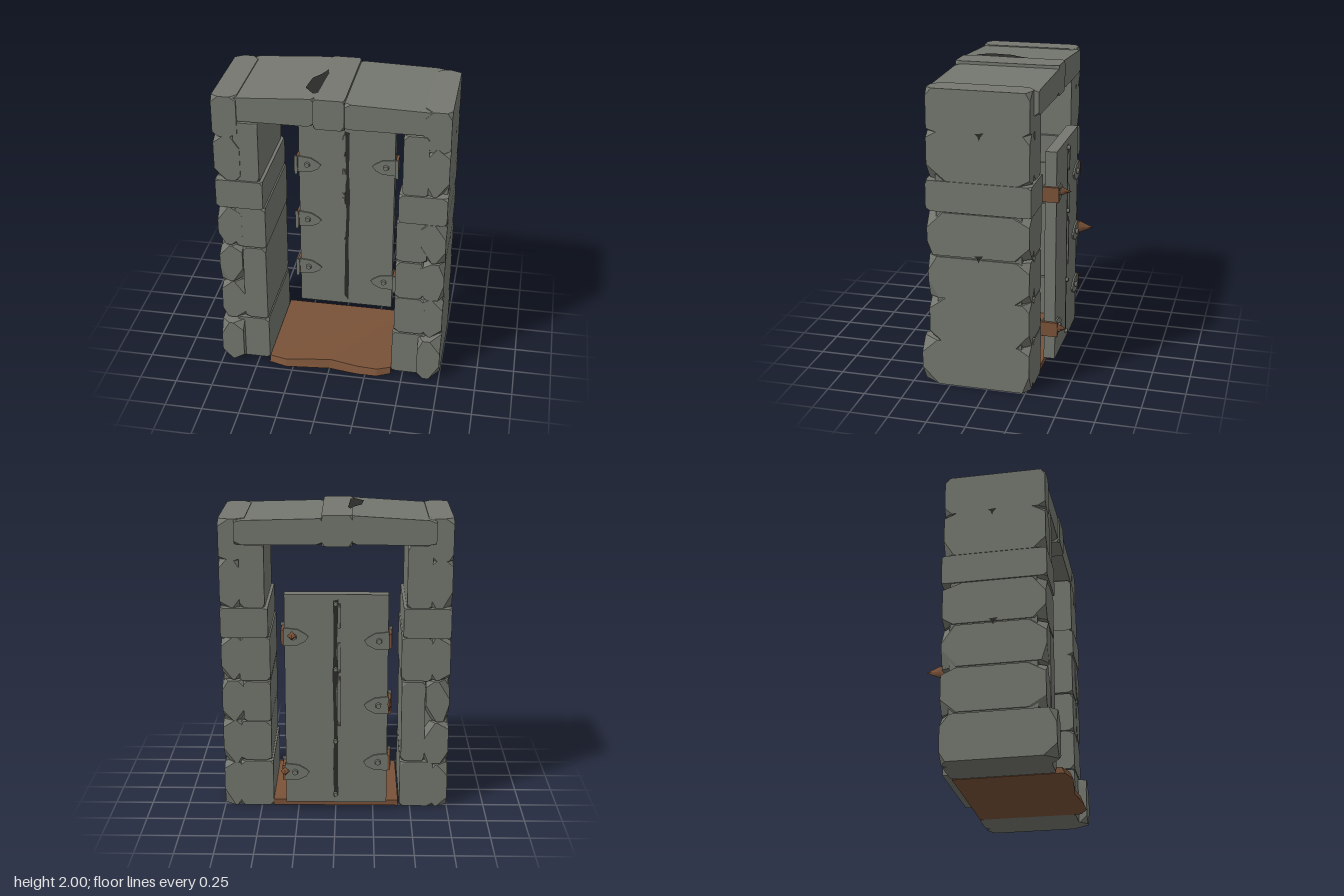
import * as THREE from 'three';
import { ConvexGeometry } from 'three/addons/geometries/ConvexGeometry.js';

const mat = (name, color, extra = {}) => {
  const m = new THREE.MeshStandardMaterial({ color, ...extra });
  m.name = name;
  return m;
};

export function createModel() {
  const stone = mat('stone grey', 0x74776f);
  const brown = mat('rusty brown', 0x7a5238);
  const dark = mat('crack dark', 0x2b2b2a, { side: THREE.DoubleSide });

  let seed = 11;
  const rnd = () => {
    seed = (seed * 16807) % 2147483647;
    return seed / 2147483647;
  };
  const add = (parent, name, geo, material, x = 0, y = 0, z = 0) => {
    const m = new THREE.Mesh(geo, material);
    m.name = name;
    m.position.set(x, y, z);
    parent.add(m);
    return m;
  };

  // Block whose eight corners are chiselled off by uneven amounts
  const rock = ([x0, x1], [y0, y1], [z0, z1], cut, warp) => {
    const pts = [];
    for (const i of [0, 1]) for (const j of [0, 1]) for (const k of [0, 1]) {
      const x = i ? x1 : x0, y = j ? y1 : y0, z = k ? z1 : z0;
      const c = cut.map((v, n) => Math.min(v * (0.35 + 0.9 * rnd()), [x1 - x0, y1 - y0, z1 - z0][n] * 0.46));
      pts.push(new THREE.Vector3(x + (i ? -c[0] : c[0]), y, z),
        new THREE.Vector3(x, y + (j ? -c[1] : c[1]), z),
        new THREE.Vector3(x, y, z + (k ? -c[2] : c[2])));
    }
    if (warp) pts.forEach(warp);
    return new ConvexGeometry(pts);
  };
  const plate = pts => new THREE.ShapeGeometry(new THREE.Shape(pts.map(p => new THREE.Vector2(...p))));

  const model = new THREE.Group();
  model.name = 'stoneDoorway';

  // Pillars: rough outer stones, squarer inner stones, hidden core
  const outer = {
    '-1': [[0, 0.3], [0.31, 0.6], [0.61, 0.89], [0.9, 1.185], [1.39, 1.71], [1.7, 1.975]],
    '1': [[0, 0.31], [0.31, 0.61], [0.61, 0.89], [0.9, 1.185], [1.39, 1.72], [1.7, 1.97]],
  };
  const inner = { // bottom, top, inner edge, outer edge
    '-1': [[0, 0.32, 0.43, 0.65], [0.33, 0.885, 0.435, 0.59], [0.895, 1.19, 0.43, 0.63], [1.39, 1.8, 0.46, 0.62]],
    '1': [[0, 0.32, 0.42, 0.64], [0.33, 0.605, 0.43, 0.63], [0.61, 0.885, 0.43, 0.61], [0.895, 1.19, 0.43, 0.63], [1.39, 1.8, 0.46, 0.62]],
  };
  for (const s of [-1, 1]) {
    const pillar = new THREE.Group();
    pillar.name = s > 0 ? 'leftPillar' : 'rightPillar';
    model.add(pillar);
    const span = (a, b) => (s > 0 ? [a, b] : [-b, -a]);
    add(pillar, 'pillarCore', new THREE.BoxGeometry(0.27, 1.86, 0.55), stone, s * 0.607, 0.93, 0.05);
    outer[s].forEach(([a, b], i) => add(pillar, 'outerStone',
      rock(span(0.6 - 0.02 * rnd(), 0.75), [a, b], [-0.275, i ? 0.375 + 0.015 * rnd() : 0.435],
        i === 5 ? [0.06, 0.05, 0.06] : [0.1, 0.1, 0.1]), stone));
    inner[s].forEach(([a, b, x0, x1]) => add(pillar, 'innerStone',
      rock(span(x0, x1), [a, b], [-0.275, 0.38], [0.03, 0.03, 0.03]), stone));
    add(pillar, 'throughStone', rock(span(0.44, 0.75), [1.19, 1.388], [-0.285, 0.39], [0.03, 0.02, 0.03]), stone);
    // Small chips on the outer face
    for (const [y, z] of [[1.69, 0.04], [0.9, 0.05]]) {
      const chip = add(pillar, 'chip', plate([[-0.03, 0.015], [0.03, 0.02], [0.01, -0.005], [0, -0.03], [-0.01, 0]]),
        dark, s * 0.753, y, z);
      chip.rotation.y = s * Math.PI / 2;
    }
  }

  // Lintel: two long beams and a keystone
  const lintel = new THREE.Group();
  lintel.name = 'lintel';
  model.add(lintel);
  const beamTop = x => 1.965 + 0.033 * Math.max(0, (x + 0.64) / 0.54);
  add(lintel, 'rightBeam', rock([-0.64, -0.1], [1.81, 1.965], [-0.3, 0.375], [0.04, 0.025, 0.04],
    v => { if (v.y > 1.9) v.y += beamTop(v.x) - 1.965; }), stone);
  add(lintel, 'keystone', rock([-0.105, 0.09], [1.8, 2], [-0.305, 0.385], [0.02, 0.03, 0.03]), stone);
  add(lintel, 'leftBeam', rock([0.085, 0.645], [1.81, 1.98], [-0.305, 0.375], [0.04, 0.025, 0.04],
    v => { if (v.y > 1.9) v.y -= 0.015 * (v.x - 0.085) / 0.56; }), stone);
  const gouge = add(lintel, 'gouge', plate([[-0.09, 0.08], [-0.075, 0.02], [-0.08, -0.06], [-0.09, -0.29],
    [-0.12, -0.3], [-0.18, -0.22], [-0.165, -0.07], [-0.12, 0]]), dark, 0, 2.002, 0);
  gouge.rotation.x = -Math.PI / 2;

  // Threshold slab with a worn front edge
  const step = [[-0.42, -0.27], [0.42, -0.27], [0.42, 0.42], [0.33, 0.465], [0.2, 0.465], [0, 0.435], [-0.3, 0.465], [-0.42, 0.43]];
  const stepGeo = new THREE.ExtrudeGeometry(new THREE.Shape(step.map(([x, z]) => new THREE.Vector2(x, -z))),
    { depth: 0.055, bevelEnabled: false });
  stepGeo.rotateX(-Math.PI / 2);
  const p = stepGeo.attributes.position;
  for (let i = 0; i < p.count; i++) {
    if (p.getY(i) > 0.01) {
      p.setY(i, 0.062 - 0.022 * Math.abs(p.getX(i)) / 0.42);
      if (p.getZ(i) > 0.4) p.setZ(i, p.getZ(i) - 0.02);
    }
  }
  stepGeo.computeVertexNormals();
  add(model, 'threshold', stepGeo, brown);

  // Door leaf with a split down the middle on both faces
  const door = new THREE.Group();
  door.name = 'door';
  model.add(door);
  add(door, 'doorLeaf', new THREE.BoxGeometry(0.67, 1.44, 0.075), stone, -0.005, 0.78, -0.3125);
  const crack = [[-0.018, 0.13], [0.01, 0.09], [0.016, 0.3], [0.01, 0.55], [0.02, 0.97], [0.012, 1.15], [0.016, 1.46],
    [-0.02, 1.47], [-0.01, 1.2], [-0.006, 1.1], [-0.022, 0.98], [-0.004, 0.85], [-0.014, 0.55]];
  for (const z of [-0.273, -0.352]) add(door, 'split', plate(crack), dark, 0, 0, z);
  // Splintered lips and studs along the split
  for (const [y, h] of [[1.08, 0.2], [0.78, 0.34], [1.36, 0.16]]) {
    add(door, 'splinter', rock([-0.032, -0.012], [y - h / 2, y + h / 2], [-0.362, -0.268], [0.015, 0.05, 0.01]), stone);
  }
  const stud = (parent, x, y, z, r = 0.017) => {
    const m = add(parent, 'stud', new THREE.CylinderGeometry(r * 0.8, r, 0.02, 6), stone, x, y, z);
    m.rotation.x = z < -0.31 ? -Math.PI / 2 : Math.PI / 2;
  };
  for (const y of [0.12, 0.5, 1.0, 1.44]) stud(door, 0, y, -0.36);

  // Hinges: pointed straps on both faces, brown edge leaf, bent spur behind
  const strapShape = new THREE.Shape([[0, -0.06], [0.09, -0.055], [0.14, -0.03], [0.16, 0], [0.14, 0.02],
    [0.09, 0.05], [0, 0.06]].map(q => new THREE.Vector2(...q)));
  const hinges = [[-1, 0.355, 0], [-1, 0.755, 0.1], [-1, 1.195, 0], [1, 0.28, 0.06], [1, 1.22, 0.07]];
  for (const [s, y, spur] of hinges) {
    const hinge = new THREE.Group();
    hinge.name = 'hinge';
    door.add(hinge);
    const edge = s > 0 ? 0.335 : -0.345;
    for (const front of [true, false]) {
      const geo = new THREE.ExtrudeGeometry(strapShape, { depth: 0.012, bevelEnabled: false });
      const strap = add(hinge, 'strap', geo, stone, edge, y, front ? -0.277 : -0.361);
      if (s > 0) {
        strap.rotation.y = Math.PI;
        strap.position.z += 0.012;
      }
      stud(hinge, edge - s * 0.065, y, front ? -0.258 : -0.368, 0.022);
    }
    add(hinge, 'edgeLeaf', new THREE.BoxGeometry(0.022, 0.14, 0.012), stone, edge + s * 0.012, y, -0.25);
    add(hinge, 'edgePlate', new THREE.BoxGeometry(0.018, 0.1, 0.12), brown, edge + s * 0.008, y, -0.31);
    if (spur) {
      const x = s < 0 ? edge - 0.006 : y > 1 ? 0.28 : edge;
      const cone = add(hinge, 'spur', new THREE.ConeGeometry(s < 0 ? 0.045 : 0.03, spur, 4), brown, x, y + 0.01, -0.37 - spur / 2);
      cone.rotation.x = -Math.PI / 2;
      if (s < 0) cone.scale.x = 0.25;
    }
  }
  return model;
}
